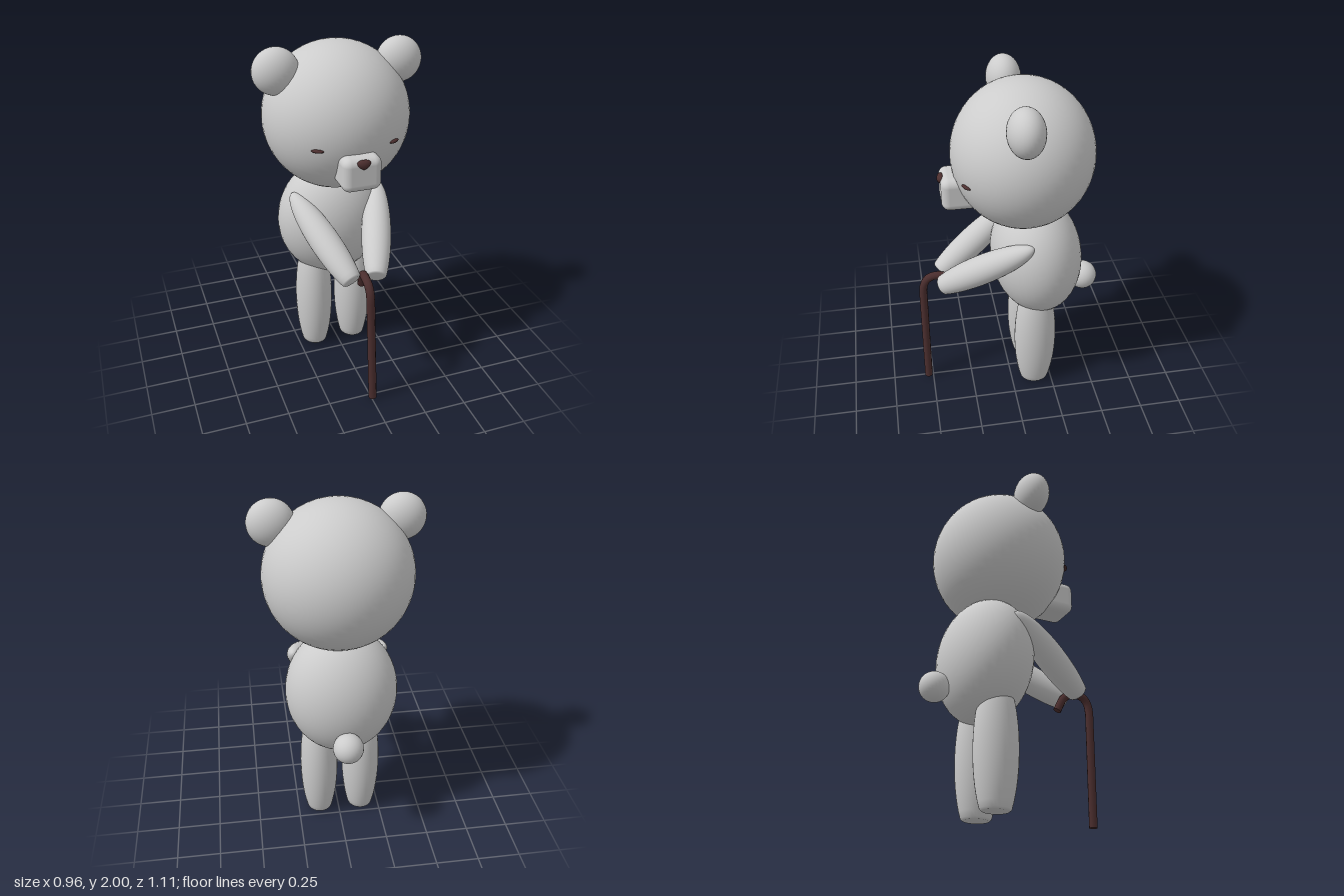
import * as THREE from 'three';
import { RoundedBoxGeometry } from 'three/addons/geometries/RoundedBoxGeometry.js';

const CX = -0.012; // the bear's own centre line

function makeMesh(name, geometry, material, position = [0, 0, 0]) {
  const mesh = new THREE.Mesh(geometry, material);
  mesh.name = name;
  mesh.position.set(...position);
  return mesh;
}

// Ellipsoid with the given radii
function ellipsoid(rx, ry, rz, ws = 40, hs = 28) {
  return new THREE.SphereGeometry(1, ws, hs).scale(rx, ry, rz);
}

// Long egg with its lower end cut off flat; the cut lies at y = 0
function limbGeometry(rx, ry, rz) {
  const cut = -0.757, points = [new THREE.Vector2(0, 0), new THREE.Vector2(0.58, 0)];
  const start = Math.asin(cut + 0.025);
  for (let i = 0; i <= 22; i++) {
    const a = start + (Math.PI / 2 - start) * i / 22;
    points.push(new THREE.Vector2(i === 22 ? 0 : Math.cos(a), Math.sin(a) - cut));
  }
  return new THREE.LatheGeometry(points, 32).scale(rx, ry, rz);
}

export function createModel() {
  const group = new THREE.Group();
  const fur = new THREE.MeshStandardMaterial({ color: 0xcccccc });
  fur.name = 'grey fur';
  const brown = new THREE.MeshStandardMaterial({ color: 0x4b2e2e });
  brown.name = 'dark brown';

  // Head, body and tail
  group.add(makeMesh('head', ellipsoid(0.42, 0.42, 0.402, 48, 32), fur, [CX, 1.573, -0.08]));
  const body = makeMesh('body', ellipsoid(0.325, 0.38, 0.272), fur, [-0.018, 0.885, -0.167]);
  body.rotation.x = 0.12;
  group.add(body);
  group.add(makeMesh('tail', ellipsoid(0.087, 0.087, 0.087, 28, 20), fur, [-0.016, 0.68, -0.466]));

  // Muzzle and nose
  group.add(makeMesh('muzzle', new RoundedBoxGeometry(0.22, 0.195, 0.3, 5, 0.045), fur, [CX, 1.388, 0.235]));
  const noseGeometry = ellipsoid(0.036, 0.027, 0.022, 20, 14);
  const p = noseGeometry.attributes.position;
  for (let i = 0; i < p.count; i++) { // narrow towards the bottom
    const y = p.getY(i) / 0.027;
    p.setX(i, p.getX(i) * (1 + 0.4 * y));
  }
  noseGeometry.computeVertexNormals();
  group.add(makeMesh('nose', noseGeometry, brown, [CX, 1.453, 0.378]));

  for (const s of [-1, 1]) {
    const side = s > 0 ? 'left' : 'right';

    // Ear and sleepy eye
    group.add(makeMesh(side + 'Ear', ellipsoid(0.13, 0.13, 0.1, 32, 22), fur, [CX + s * 0.352, 1.87, -0.03]));
    const eye = makeMesh(side + 'Eye', ellipsoid(0.035, 0.01, 0.014, 20, 12), brown, [CX + s * 0.216, 1.511, 0.261]);
    eye.rotation.y = s * 0.55;
    group.add(eye);

    // Leg standing on its cut end
    group.add(makeMesh(side + 'Leg', limbGeometry(0.113, 0.45, 0.128), fur, [CX + s * 0.128, 0, -0.147]));

    // Arm reaching forward, with the cut end at the hand
    const hand = new THREE.Vector3(CX + s * 0.072, 0.765, 0.41);
    const shoulder = new THREE.Vector3(CX + s * 0.265, 1.105, -0.1);
    const axis = shoulder.clone().sub(hand);
    const arm = makeMesh(side + 'Arm', limbGeometry(0.086, axis.length() / 1.757, 0.086), fur, hand.toArray());
    arm.quaternion.setFromUnitVectors(new THREE.Vector3(0, 1, 0), axis.normalize());
    group.add(arm);
  }

  // Walking cane: straight shaft and bent handle
  const bend = [[-0.014, 0.68, 0.522], [-0.015, 0.735, 0.512], [-0.016, 0.772, 0.485], [-0.015, 0.787, 0.44],
    [-0.01, 0.783, 0.395], [-0.002, 0.755, 0.355], [0.008, 0.675, 0.315]].map(a => new THREE.Vector3(...a));
  const path = new THREE.CurvePath();
  path.add(new THREE.LineCurve3(new THREE.Vector3(0.008, 0.004, 0.529), bend[0]));
  path.add(new THREE.CatmullRomCurve3(bend));
  const radius = 0.024;
  const cane = new THREE.Group();
  cane.name = 'cane';
  cane.add(makeMesh('caneShaft', new THREE.TubeGeometry(path, 48, radius, 10), brown));
  for (const [name, t, sign] of [['caneFoot', 0, -1], ['caneHandleEnd', 1, 1]]) {
    const cap = makeMesh(name, new THREE.CircleGeometry(radius, 10), brown, path.getPointAt(t).toArray());
    cap.quaternion.setFromUnitVectors(new THREE.Vector3(0, 0, 1), path.getTangentAt(t).multiplyScalar(sign).normalize());
    cane.add(cap);
  }
  group.add(cane);
  return group;
}
